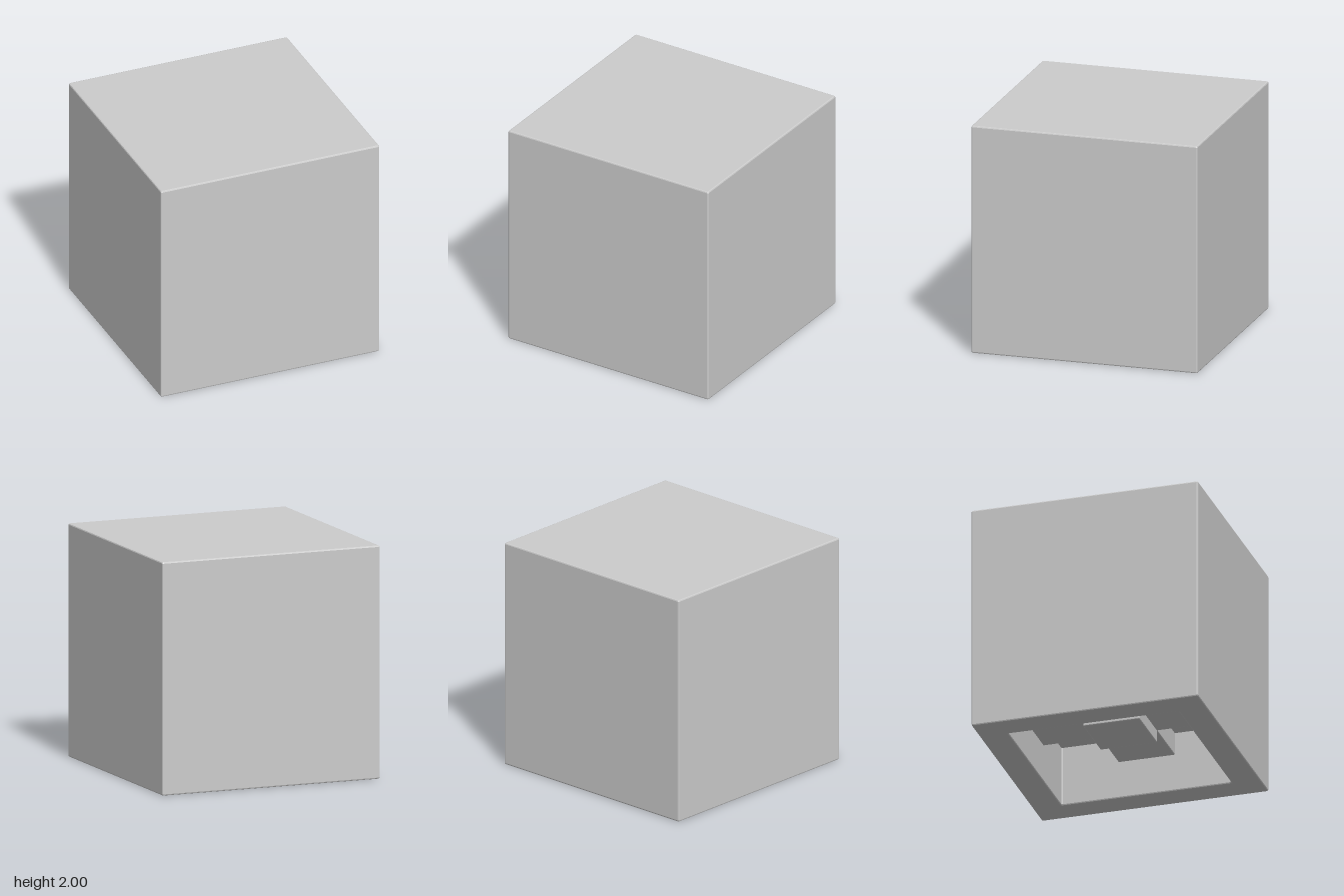
import * as THREE from 'three';
import { RoundedBoxGeometry } from 'three/addons/geometries/RoundedBoxGeometry.js';

const material = new THREE.MeshStandardMaterial({ color: 0xcccccc, flatShading: true });

// Turns a profile of [half width, y] into a square body with softened corners.
function squareLathe(profile, bevel) {
  const points = profile.map(([r, y]) => new THREE.Vector2(r, y));
  const geometry = new THREE.LatheGeometry(points, 16);
  const position = geometry.attributes.position;
  for (let i = 0; i < position.count; i++) {
    const column = Math.floor(i / points.length) % 16;
    const corner = Math.floor(column / 4);
    const angle = (corner + (column % 4) / 3) * Math.PI / 2;
    const r = points[i % points.length].x;
    const c = Math.min(bevel, r);
    const sx = corner < 2 ? 1 : -1;
    const sz = corner === 0 || corner === 3 ? 1 : -1;
    position.setX(i, sx * (r - c) + c * Math.sin(angle));
    position.setZ(i, sz * (r - c) + c * Math.cos(angle));
  }
  geometry.computeVertexNormals();
  return geometry;
}

export function createModel() {
  const group = new THREE.Group();
  const add = (name, geometry, x, y, z) => {
    const mesh = new THREE.Mesh(geometry, material);
    mesh.name = name;
    mesh.position.set(x, y, z);
    group.add(mesh);
    return mesh;
  };

  // Cube with a square recess in its underside
  const b = 0.012, k = b * 0.29;
  const ceiling = 0.535;
  add('body', squareLathe([
    [0, ceiling], [0.75, ceiling], [0.75, b], [0.75 + k, k], [0.75 + b, 0],
    [1 - b, 0], [1 - k, k], [1, b],
    [1, 2 - b], [1 - k, 2 - k], [1 - b, 2], [0, 2],
  ], b), 0, 0, 0);

  // Centre block hanging from the recess ceiling
  add('centreBlock', new RoundedBoxGeometry(0.5, 0.335, 0.5, 2, 0.01), 0, 0.3925, 0);

  // Four arms joining the centre block to the recess walls
  for (let i = 0; i < 4; i++) {
    const a = i * Math.PI / 2;
    const arm = add('arm', new RoundedBoxGeometry(0.54, 0.225, 0.5, 2, 0.01),
      0.5 * Math.cos(a), 0.4475, -0.5 * Math.sin(a));
    arm.rotation.y = a;
  }
  return group;
}
